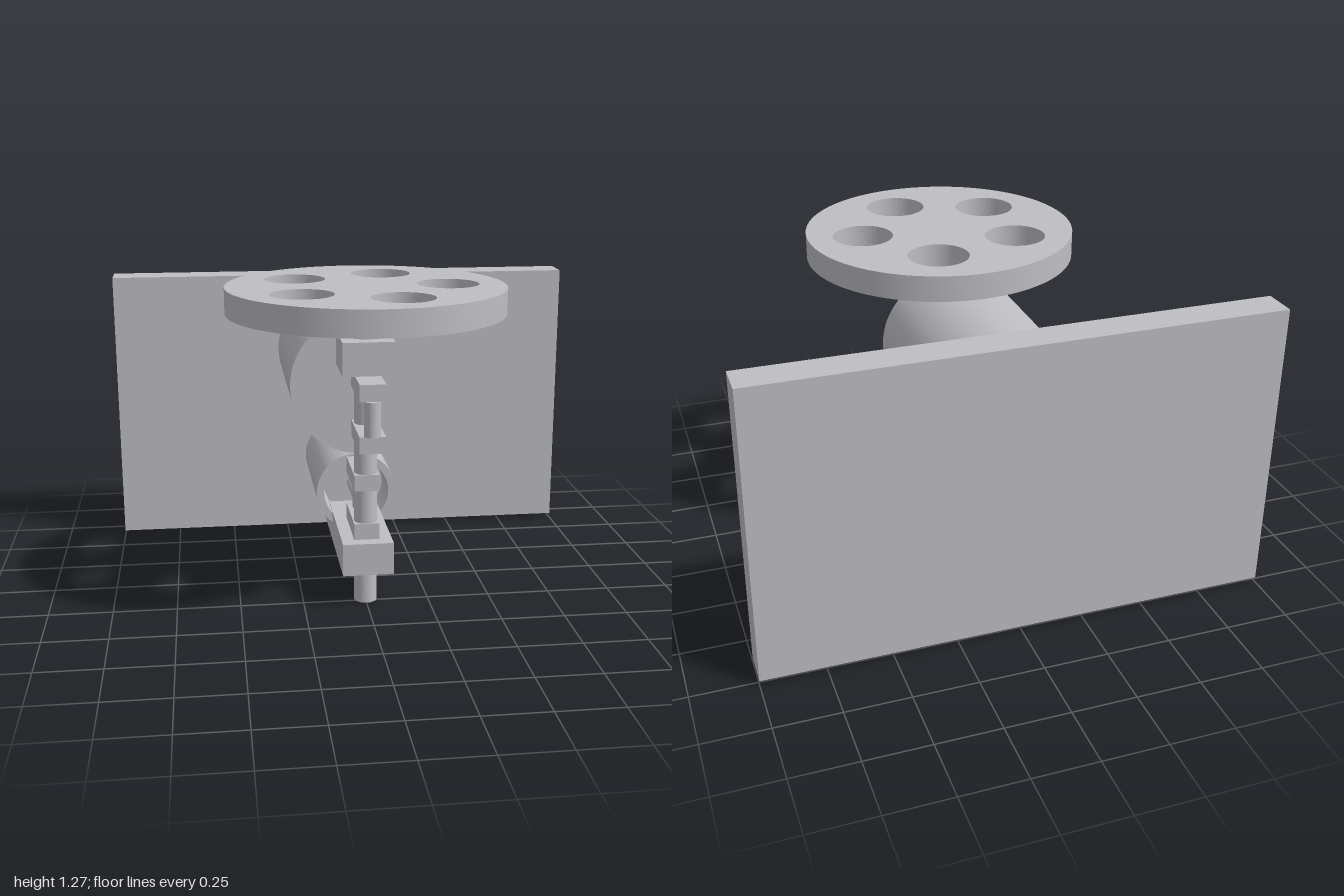
import * as THREE from 'three';
import { toCreasedNormals } from 'three/addons/utils/BufferGeometryUtils.js';

const SHAFT_Z = 0.235;

export function createModel() {
  const model = new THREE.Group();
  model.name = 'twoCylinderEngine';
  const steel = new THREE.MeshStandardMaterial({ color: 0xbebdc3 });
  steel.name = 'steelGrey';

  const add = (name, geometry, x = 0, y = 0, z = 0) => {
    const mesh = new THREE.Mesh(geometry, steel);
    mesh.name = name;
    mesh.position.set(x, y, z);
    model.add(mesh);
    return mesh;
  };

  // Box given by full width in x and its ranges in y and z
  const block = (name, width, y0, y1, z0, z1) =>
    add(name, new THREE.BoxGeometry(width, y1 - y0, z1 - z0), 0, (y0 + y1) / 2, (z0 + z1) / 2);

  // Upright round bar
  const upright = (name, r, y0, y1, z) =>
    add(name, new THREE.CylinderGeometry(r, r, y1 - y0, 40), 0, (y0 + y1) / 2, z);

  // Round bar lying along z
  const lying = (name, r, y, z0, z1) =>
    add(name, new THREE.CylinderGeometry(r, r, z1 - z0, 64).rotateX(Math.PI / 2), 0, y, (z0 + z1) / 2);

  // Disc with round holes [x, y, radius], extruded along +z
  const drilledDisc = (r, depth, holes) => {
    const shape = new THREE.Shape().absarc(0, 0, r, 0, Math.PI * 2);
    for (const [x, y, hr] of holes) {
      shape.holes.push(new THREE.Path().absarc(x, y, hr, 0, Math.PI * 2, true));
    }
    const geometry = new THREE.ExtrudeGeometry(shape, { depth, bevelEnabled: false, curveSegments: 64 });
    return toCreasedNormals(geometry, 0.6);
  };

  // Back plate and bearing arms
  block('backPlate', 2, 0.02, 1.185, -0.77, -0.635);
  block('lowerBearingArm', 0.2, 0.14, 0.27, -0.635, 0.335);
  block('upperBearingArm', 0.2, 0.94, 1.07, 0.1, 0.335);

  // Large closed cylinder, and small open cylinder with its piston
  lying('largeCylinder', 0.282, 0.853, -0.635, 0.1);
  add('smallCylinder', drilledDisc(0.165, 0.57, [[0, 0, 0.135]]), 0, 0.355, -0.635);
  lying('smallPiston', 0.126, 0.355, -0.4, -0.2);

  // Crankshaft
  upright('shaft', 0.045, 0, 1.17, SHAFT_Z);

  // Two cranks on opposite sides: webs, pin and connecting rod
  const cranks = [
    { name: 'upperCrank', y: 0.67, z0: 0.185, z1: 0.45, pinZ: 0.437, rodY: 0.853, rodEnd: 0.1 },
    { name: 'lowerCrank', y: 0.27, z0: 0.02, z1: 0.283, pinZ: 0.071, rodY: 0.355, rodEnd: -0.2 },
  ];
  for (const { name, y, z0, z1, pinZ, rodY, rodEnd } of cranks) {
    block(name + 'BottomWeb', 0.1, y, y + 0.065, z0, z1);
    block(name + 'TopWeb', 0.1, y + 0.2, y + 0.265, z0, z1);
    upright(name + 'Pin', 0.032, y + 0.065, y + 0.2, pinZ);
    lying(name + 'Rod', 0.024, rodY, rodEnd, pinZ);
  }

  // Flywheel with five evenly spaced holes
  const holes = [];
  for (let i = 0; i < 5; i++) {
    const a = (i * Math.PI * 2) / 5;
    holes.push([0.315 * Math.cos(a), 0.315 * Math.sin(a), 0.118]);
  }
  add('flywheel', drilledDisc(0.532, 0.1, holes).rotateX(-Math.PI / 2), 0, 1.17, SHAFT_Z);

  return model;
}
